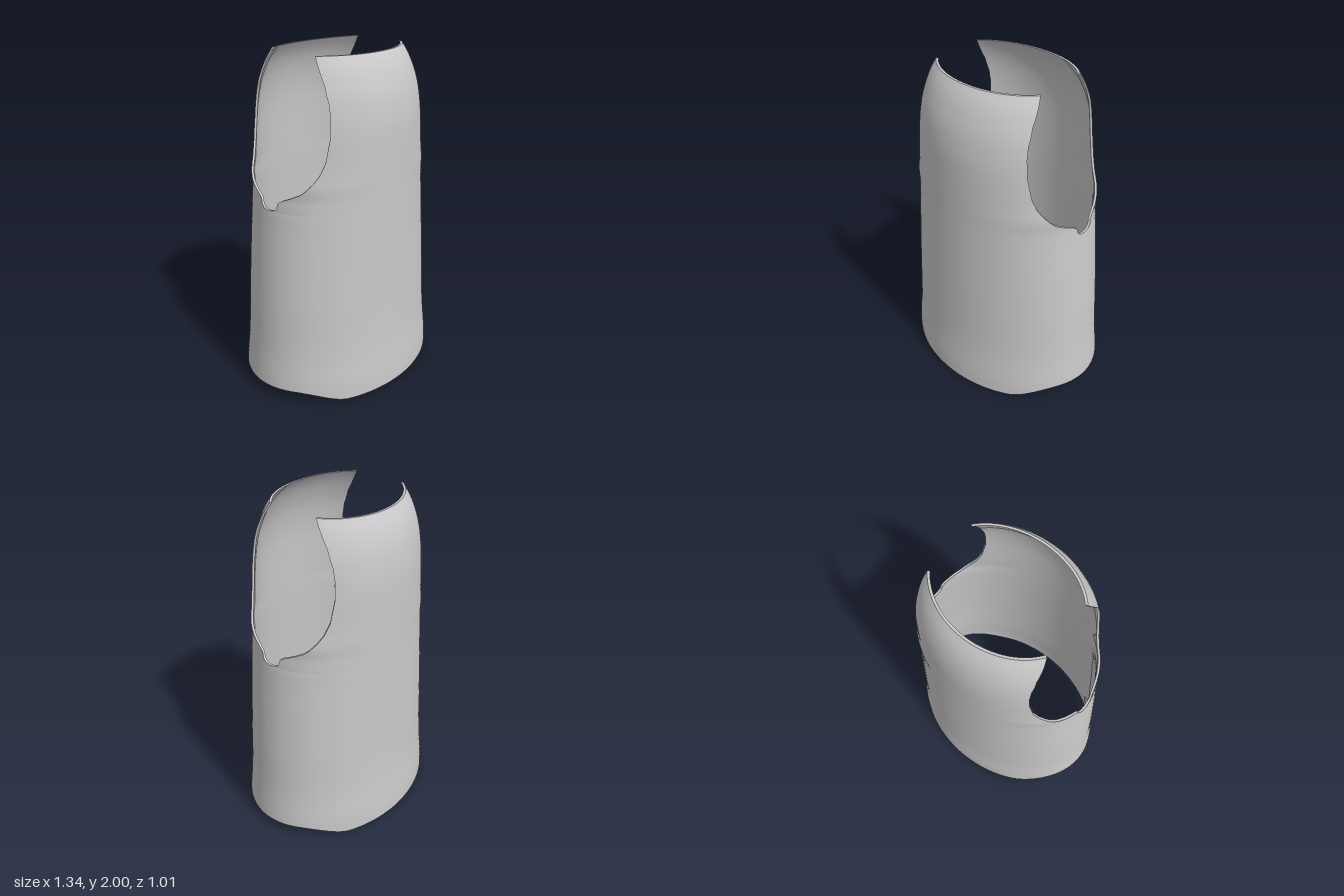
import * as THREE from 'three';
import { mergeVertices, toCreasedNormals } from 'three/addons/utils/BufferGeometryUtils.js';

const THICKNESS = 0.014;
const COLUMNS = 72;

// Profiles as [height, value]
const halfWidth = [[0, 0.672], [0.1, 0.668], [0.3, 0.647], [0.6, 0.627], [0.9, 0.602], [1.24, 0.57],
  [1.32, 0.573], [1.4, 0.556], [1.6, 0.532], [1.8, 0.5], [1.93, 0.455], [2, 0.42]];
const frontDepth = [[0, 0.505], [0.1, 0.5], [0.3, 0.481], [0.6, 0.467], [1.2, 0.446], [1.6, 0.439],
  [1.7, 0.43], [1.8, 0.411], [1.9, 0.375], [1.96, 0.342], [2, 0.31]];
const backDepth = [[0, 0.505], [0.1, 0.5], [0.3, 0.481], [0.6, 0.467], [1.2, 0.446], [1.6, 0.439],
  [1.7, 0.432], [1.8, 0.416], [1.9, 0.387], [1.96, 0.358], [2, 0.33]];
// Distance of the armhole edge from the side seam, with the small notch at its foot
const armhole = [[1.17, 0], [1.175, 0.035], [1.19, 0.055], [1.225, 0.065], [1.24, 0.085], [1.262, 0.135],
  [1.29, 0.19], [1.315, 0.217], [1.35, 0.243], [1.4, 0.267], [1.47, 0.286], [1.6, 0.297], [1.7, 0.29],
  [1.77, 0.277], [1.86, 0.244], [1.93, 0.205], [2, 0.162]];

// Value of a profile at a height: smooth (Hermite) or straight
function sample(profile, y, smooth = true) {
  const last = profile.length - 1;
  if (y <= profile[0][0]) return profile[0][1];
  if (y >= profile[last][0]) return profile[last][1];
  let i = 0;
  while (profile[i + 1][0] < y) i++;
  const [y0, v0] = profile[i], [y1, v1] = profile[i + 1];
  const h = y1 - y0, t = (y - y0) / h;
  if (!smooth) return v0 + (v1 - v0) * t;
  const slope = (k) => {
    const a = profile[Math.max(k - 1, 0)], b = profile[Math.min(k + 1, last)];
    return (b[1] - a[1]) / (b[0] - a[0]);
  };
  const t2 = t * t, t3 = t2 * t;
  return (2 * t3 - 3 * t2 + 1) * v0 + (t3 - 2 * t2 + t) * h * slope(i)
    + (3 * t2 - 2 * t3) * v1 + (t3 - t2) * h * slope(i + 1);
}

// Row heights: even on the body, finer around the armhole
function rowHeights() {
  const rows = [];
  for (let i = 0; i < 30; i++) rows.push(1.17 * i / 30);
  for (let k = 0; k < armhole.length - 1; k++) {
    const y0 = armhole[k][0], y1 = armhole[k + 1][0];
    const steps = Math.ceil((y1 - y0) / 0.025);
    for (let i = 0; i < steps; i++) rows.push(y0 + (y1 - y0) * i / steps);
  }
  rows.push(2);
  return rows;
}

// One half of the garment: outer skin, lining and the edges between them
function addPanel(positions, index, depth, side, dip) {
  const rows = rowHeights();
  const base = positions.length / 3;
  const stride = COLUMNS + 1;
  const layerSize = rows.length * stride;

  for (const inset of [0, THICKNESS]) {
    for (const row of rows) {
      const edge = sample(armhole, row, false) * (side < 0 ? 1.03 : 1);
      const reach = row <= 1.17 ? Math.PI / 2 : Math.acos(edge / sample(depth, row));
      for (let c = 0; c <= COLUMNS; c++) {
        const s = c / COLUMNS * 2 - 1;
        const angle = s * reach;
        // The hem rises toward the sides; the neckline may dip in the middle
        const hem = 0.005 + 0.07 * THREE.MathUtils.smoothstep(Math.abs(Math.sin(angle)), 0.55, 0.93);
        let y = row + hem * Math.max(0, 1 - row / 0.3);
        y -= dip * (1 - s * s) * THREE.MathUtils.smoothstep(row, 1.8, 2);
        const a = sample(halfWidth, row < 0.3 ? y : row) - inset;
        const b = sample(depth, row < 0.3 ? y : row) - inset;
        positions.push(side * a * Math.sin(angle), y, side * b * Math.cos(angle));
      }
    }
  }

  const outer = (r, c) => base + r * stride + c;
  const inner = (r, c) => outer(r, c) + layerSize;
  const quad = (a, b, c, d) => index.push(a, b, c, a, c, d);
  const top = rows.length - 1;

  for (let r = 0; r < top; r++) {
    for (let c = 0; c < COLUMNS; c++) {
      quad(outer(r, c), outer(r, c + 1), outer(r + 1, c + 1), outer(r + 1, c));
      quad(inner(r, c), inner(r + 1, c), inner(r + 1, c + 1), inner(r, c + 1));
    }
    // Armhole edges
    if (rows[r] >= 1.1699) {
      const e = COLUMNS;
      quad(outer(r, e), inner(r, e), inner(r + 1, e), outer(r + 1, e));
      quad(outer(r, 0), outer(r + 1, 0), inner(r + 1, 0), inner(r, 0));
    }
  }
  // Hem and neckline edges
  for (let c = 0; c < COLUMNS; c++) {
    quad(outer(0, c), inner(0, c), inner(0, c + 1), outer(0, c + 1));
    quad(outer(top, c), outer(top, c + 1), inner(top, c + 1), inner(top, c));
  }
}

export function createModel() {
  const group = new THREE.Group();
  group.name = 'vest';

  const fabric = new THREE.MeshStandardMaterial({ color: 0xc8c8c8, side: THREE.DoubleSide });
  fabric.name = 'light grey fabric';

  const positions = [], index = [];
  addPanel(positions, index, frontDepth, 1, 0);
  addPanel(positions, index, backDepth, -1, 0.015);

  let geometry = new THREE.BufferGeometry();
  geometry.setAttribute('position', new THREE.Float32BufferAttribute(positions, 3));
  geometry.setIndex(index);
  // Join the halves along the side seams, keep the cut edges sharp
  geometry = toCreasedNormals(mergeVertices(geometry, 1e-4), Math.PI / 4);

  const shell = new THREE.Mesh(geometry, fabric);
  shell.name = 'vestShell';
  group.add(shell);
  return group;
}
